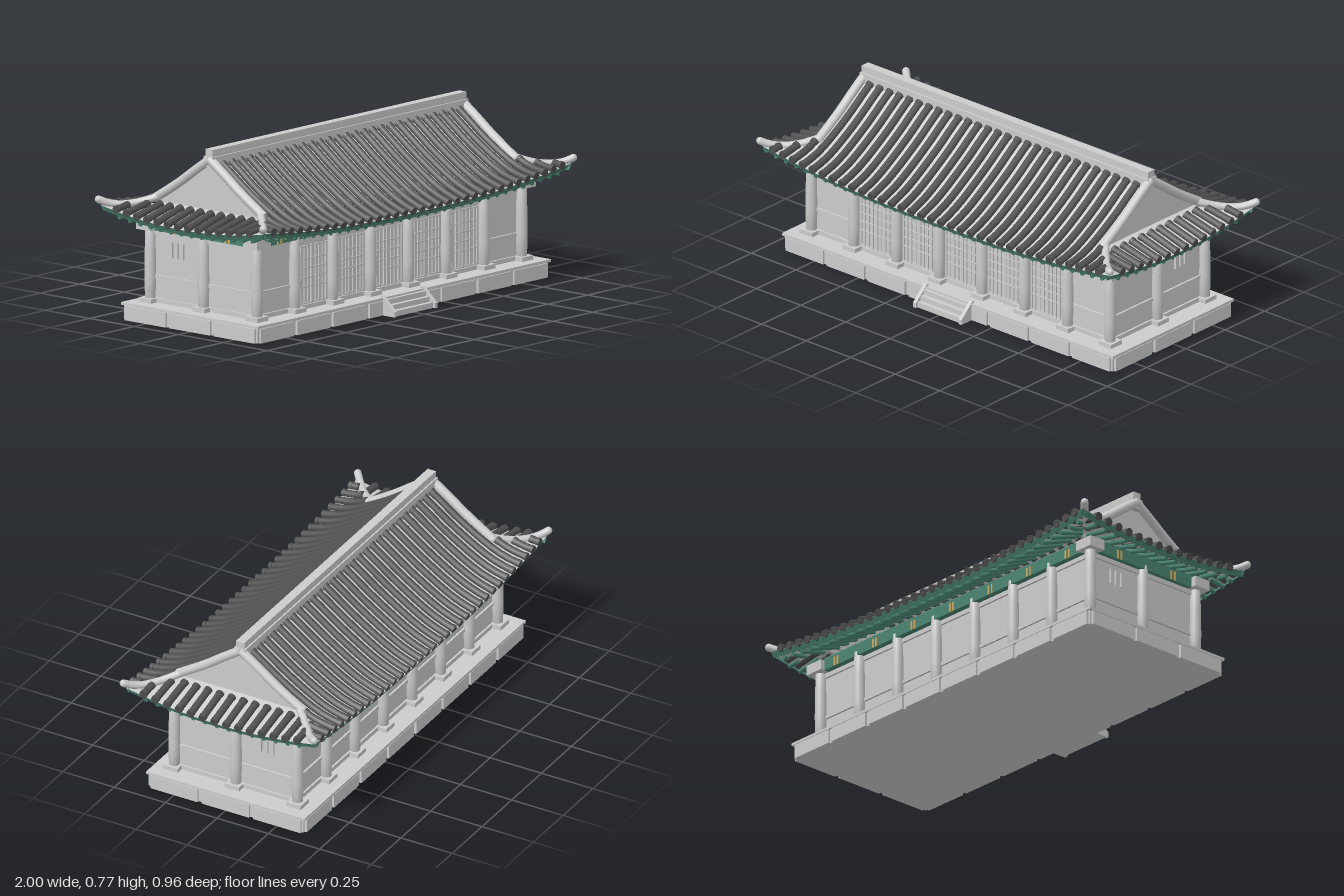
import * as THREE from 'three';

const mat = (name, color, side = THREE.FrontSide) => {
  const m = new THREE.MeshStandardMaterial({ color, side });
  m.name = name;
  return m;
};
const V = (x, y, z) => new THREE.Vector3(x, y, z);

// roof outline
const RX = 0.8, RZ = 0.3, EX = 0.975, EZ = 0.462;
const profile = [[0, 0.71], [0.08, 0.655], [0.16, 0.597], [0.28, 0.52], [0.37, 0.47], [0.47, 0.432]];
const curve = new THREE.SplineCurve(profile.map(p => new THREE.Vector2(...p)));
const samples = curve.getPoints(60);
// height of the curved roof profile
function profileY(z) {
  let i = 1;
  while (i < samples.length - 1 && samples[i].x < z) i++;
  const a = samples[i - 1], b = samples[i];
  return a.y + (b.y - a.y) * (z - a.x) / (b.x - a.x);
}
const mainY = (x, z) => profileY(Math.abs(z)) + 0.062 * Math.abs(x) ** 2.5 * (Math.abs(z) / EZ) ** 3;
const sideY = (x, z) => {
  const t = (Math.abs(x) - RX) / (EX - RX);
  return 0.495 - 0.05 * t + 0.045 * t * (z / EZ) ** 2;
};

export function createModel() {
  const root = new THREE.Group();
  root.name = 'tiledHall';
  const stone = mat('light grey', 0xcccccc);
  const sheetGrey = mat('light grey roof', 0xcccccc, THREE.DoubleSide);
  const tile = mat('dark tile', 0x505050);
  const teal = mat('teal paint', 0x4a8472, THREE.DoubleSide);
  const gold = mat('gold paint', 0xd2ac60);

  const group = name => {
    const g = new THREE.Group();
    g.name = name;
    root.add(g);
    return g;
  };
  const add = (parent, name, geo, m, x = 0, y = 0, z = 0) => {
    const mesh = new THREE.Mesh(geo, m);
    mesh.name = name;
    mesh.position.set(x, y, z);
    parent.add(mesh);
    return mesh;
  };
  // box given by its limits
  const box = (p, name, m, x0, x1, y0, y1, z0, z1) =>
    add(p, name, new THREE.BoxGeometry(x1 - x0, y1 - y0, z1 - z0), m, (x0 + x1) / 2, (y0 + y1) / 2, (z0 + z1) / 2);
  // curved sheet from a rule f(u, v)
  const sheet = (p, name, m, f, nu, nv) => {
    const geo = new THREE.PlaneGeometry(1, 1, nu, nv), pos = geo.attributes.position;
    for (let i = 0; i < pos.count; i++) pos.setXYZ(i, ...f(pos.getX(i) + 0.5, pos.getY(i) + 0.5));
    geo.computeVertexNormals();
    return add(p, name, geo, m);
  };
  const tube = (p, name, m, pts, r, n, sides) =>
    add(p, name, new THREE.TubeGeometry(new THREE.CatmullRomCurve3(pts), n, r, sides), m);
  // straight rod between two points
  const rod = (p, name, m, a, b, r, sides) => {
    const d = b.clone().sub(a);
    const mesh = add(p, name, new THREE.CylinderGeometry(r, r, d.length(), sides), m);
    mesh.position.copy(a).add(b).multiplyScalar(0.5);
    mesh.quaternion.setFromUnitVectors(V(0, 1, 0), d.normalize());
    return mesh;
  };

  // stone platform with raised panels
  const base = group('platform');
  box(base, 'platformBody', stone, -0.92, 0.92, 0, 0.066, -0.375, 0.375);
  box(base, 'platformTop', stone, -0.93, 0.93, 0.064, 0.076, -0.385, 0.385);
  for (const s of [-1, 1]) {
    for (let i = 0; i < 8; i++) {
      const x = -0.92 + i * 0.23;
      box(base, 'frontPanel', stone, x + 0.01, x + 0.22, 0, 0.062, s * 0.38 - 0.005, s * 0.38 + 0.005);
    }
    for (let i = 0; i < 3; i++) {
      const z = -0.375 + i * 0.25;
      box(base, 'sidePanel', stone, s * 0.925 - 0.005, s * 0.925 + 0.005, 0, 0.062, z + 0.01, z + 0.24);
    }
  }

  // front steps with sloping side stones
  const steps = group('steps');
  for (let i = 0; i < 3; i++)
    box(steps, 'step', stone, -0.12, 0.12, 0, 0.068 - i * 0.022, 0.37, 0.4 + i * 0.02);
  const cheek = new THREE.Shape([[-0.37, 0], [-0.45, 0], [-0.45, 0.022], [-0.38, 0.085], [-0.37, 0.085]]
    .map(p => new THREE.Vector2(...p)));
  const cheekGeo = new THREE.ExtrudeGeometry(cheek, { depth: 0.016, bevelEnabled: false }).rotateY(Math.PI / 2);
  for (const x of [-0.136, 0.12]) add(steps, 'stepCheek', cheekGeo, stone, x, 0, 0);

  // walls, rails and lattice doors
  const walls = group('walls');
  box(walls, 'wallBody', stone, -0.83, 0.83, 0.07, 0.47, -0.285, 0.285);
  for (const s of [-1, 1]) {
    for (const [y0, y1] of [[0.076, 0.095], [0.18, 0.195], [0.37, 0.39]]) {
      if (s === -1 || y0 !== 0.18) box(walls, 'rail', stone, -0.83, 0.83, y0, y1, s * 0.288 - 0.006, s * 0.288 + 0.006);
      box(walls, 'sideRail', stone, s * 0.833 - 0.006, s * 0.833 + 0.006, y0, y1, -0.285, 0.285);
    }
    // barred side window
    const win = group('sideWindow');
    for (const z of [-0.18, -0.15, -0.12])
      box(win, 'windowBar', stone, s * 0.834 - 0.005, s * 0.834 + 0.005, 0.278, 0.345, z - 0.002, z + 0.002);
    box(walls, 'endRail', stone, s * 0.72 - 0.12, s * 0.72 + 0.12, 0.18, 0.195, 0.284, 0.294);
  }
  const doors = group('latticeDoors');
  for (let b = -2; b <= 2; b++) {
    const c = b * 0.24;
    for (let i = 0; i <= 8; i++) {
      const x = c - 0.092 + i * 0.023, w = i % 4 ? 0.002 : 0.005;
      box(doors, 'doorBar', stone, x - w, x + w, 0.095, 0.35, 0.284, 0.291);
    }
    for (const y of [0.1, 0.17, 0.21, 0.25, 0.29, 0.345])
      box(doors, 'doorRail', stone, c - 0.095, c + 0.095, y - 0.003, y + 0.003, 0.284, 0.29);
  }

  // columns on square plinths, with corner capitals
  const columns = group('columns');
  const columnGeo = new THREE.LatheGeometry(
    [[0, 0.09], [0.023, 0.09], [0.0255, 0.19], [0.024, 0.3], [0.021, 0.41], [0, 0.41]].map(p => new THREE.Vector2(...p)), 20);
  const column = (x, z) => {
    add(columns, 'column', columnGeo, stone, x, 0, z);
    box(columns, 'plinth', stone, x - 0.035, x + 0.035, 0.074, 0.095, z - 0.035, z + 0.035);
  };
  for (const s of [-1, 1]) {
    for (let i = 0; i < 8; i++) column(-0.84 + i * 0.24, s * 0.3);
    column(s * 0.84, 0);
    for (const t of [-1, 1])
      box(columns, 'capital', stone, s * 0.84 - 0.045, s * 0.84 + 0.045, 0.39, 0.435, t * 0.3 - 0.04, t * 0.3 + 0.04);
  }

  // painted beams with gold strips
  const beams = group('paintedBeams');
  for (const s of [-1, 1]) {
    box(beams, 'longBeam', teal, -0.8, 0.8, 0.39, 0.445, s * 0.3 - 0.02, s * 0.3 + 0.02);
    box(beams, 'endBeam', teal, s * 0.84 - 0.02, s * 0.84 + 0.02, 0.39, 0.445, -0.265, 0.265);
    for (const d of [-0.01, 0.01]) {
      for (let b = -3; b <= 3; b++) {
        const x = b * 0.24 + d;
        box(beams, 'goldStrip', gold, x - 0.004, x + 0.004, 0.39, 0.43, s * 0.321 - 0.003, s * 0.321 + 0.003);
      }
      for (const z of [-0.153 + d, 0.153 + d])
        box(beams, 'goldStrip', gold, s * 0.861 - 0.003, s * 0.861 + 0.003, 0.39, 0.43, z - 0.004, z + 0.004);
    }
  }

  // roof surfaces and eave boards
  const roof = group('roof');
  for (const s of [-1, 1]) {
    sheet(roof, 'mainSlope', sheetGrey, (u, v) => {
      const z = v * EZ, w = z < RZ ? RX : RX + (z - RZ) / (EZ - RZ) * (EX - RX), x = (2 * u - 1) * w;
      return [x, mainY(x, z), s * z];
    }, 32, 20);
    sheet(roof, 'sideSlope', sheetGrey, (u, v) => {
      const x = RX - 0.03 + v * (EX - RX + 0.03);
      const z = (2 * u - 1) * (RZ + Math.max(0, x - RX) / (EX - RX) * (EZ - RZ));
      return [s * x, sideY(x, z), z];
    }, 20, 7);
    sheet(roof, 'longEaveBoard', teal, (u, v) => {
      const x = (2 * u - 1) * EX;
      return [x, mainY(x, EZ) - v * 0.024, s * (EZ - 0.004 - v * 0.012)];
    }, 32, 1);
    sheet(roof, 'sideEaveBoard', teal, (u, v) => {
      const z = (2 * u - 1) * EZ;
      return [s * (EX - 0.004 - v * 0.012), sideY(EX, z) - v * 0.024, z];
    }, 20, 1);
    // gable wall
    const tri = new THREE.Shape([new THREE.Vector2(-RZ, 0.48), ...samples.filter(p => p.x <= RZ).reverse()
      .map(p => new THREE.Vector2(-p.x, p.y)), ...samples.filter(p => p.x > 0 && p.x <= RZ), new THREE.Vector2(RZ, 0.48)]);
    add(roof, 'gable', new THREE.ShapeGeometry(tri).rotateY(Math.PI / 2), sheetGrey, s * 0.783);
  }

  // rows of round tiles with the rafters below them
  const tiles = group('roofTiles'), rafters = group('rafters');
  const row = (f, a, b, wall) => {
    const pts = [];
    for (let i = 0; i <= 8; i++) pts.push(f(a + (b - a) * i / 8, 0.007));
    tube(tiles, 'tileRow', tile, pts, 0.0165, 10, 8);
    for (const [p, q] of [[pts[0], pts[1]], [pts[8], pts[7]]]) {
      const d = q.clone().sub(p).normalize();
      rod(tiles, 'tileEnd', tile, p.clone().addScaledVector(d, -0.002), p.clone().addScaledVector(d, 0.014), 0.0185, 8);
    }
    rod(rafters, 'rafter', teal, f(Math.max(a, wall), -0.032), f(b - 0.02, -0.032), 0.01, 6);
  };
  for (const s of [-1, 1]) {
    for (let i = 0; i < 34; i++) {
      const x = (i - 16.5) * 0.0555, ax = Math.abs(x);
      const start = ax < RX ? 0.025 : RZ + 0.01 + (ax - RX) / (EX - RX) * (EZ - RZ);
      row((z, o) => V(x, mainY(x, z) + o, s * z), start, EZ, 0.28);
    }
    for (let i = 0; i < 14; i++) {
      const z = (i - 6.5) * 0.0575, az = Math.abs(z);
      const start = az < RZ ? 0.822 : RX + 0.022 + (az - RZ) / (EZ - RZ) * (EX - RX);
      row((x, o) => V(s * x, sideY(x, z) + o, z), start, EX, 0.82);
    }
  }

  // top ridge, gable ridges and upturned hip ridges
  const ridges = group('ridges');
  box(ridges, 'ridgeBase', stone, -0.81, 0.81, 0.69, 0.735, -0.027, 0.027);
  box(ridges, 'ridgeCap', stone, -0.805, 0.805, 0.735, 0.766, -0.02, 0.02);
  const hip = [[0.8, 0.525, 0.285], [0.86, 0.5, 0.35], [0.92, 0.492, 0.405], [0.96, 0.502, 0.442], [0.984, 0.515, 0.464]];
  for (const sx of [-1, 1]) for (const sz of [-1, 1]) {
    const rim = [0, 0.08, 0.16, 0.23, 0.3].map(z => V(sx * RX, profileY(z) + 0.012, sz * z));
    tube(ridges, 'gableRidge', stone, rim, 0.02, 16, 12);
    tube(ridges, 'hipRidge', stone, hip.map(([x, y, z]) => V(sx * x, y, sz * z)), 0.0165, 18, 12);
    const [x, y, z] = hip[4];
    add(ridges, 'hipTip', new THREE.SphereGeometry(0.0165, 12, 8), stone, sx * x, y, sz * z);
    add(ridges, 'gableRidgeEnd', new THREE.SphereGeometry(0.02, 12, 8), stone, sx * RX, profileY(0.3) + 0.012, sz * 0.3);
  }
  return root;
}
